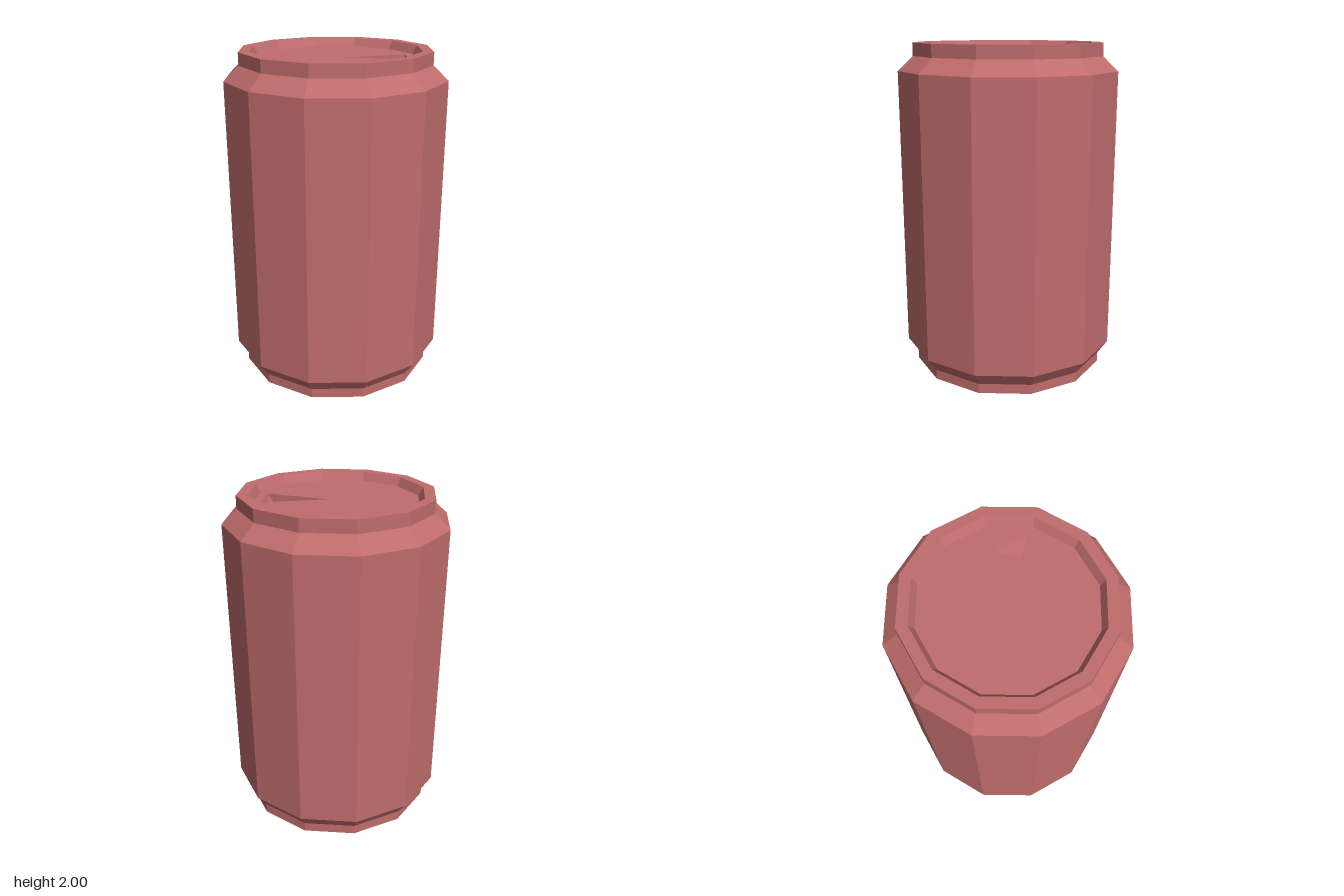
import * as THREE from 'three';

const SIDES = 12;
const LID_Y = 1.95;
const LID_R = 0.48;
const FLOOR_Y = 1.85;

export function createModel() {
  const model = new THREE.Group();
  model.name = 'drinkCan';
  const material = new THREE.MeshStandardMaterial({ color: 0xc06c6c, flatShading: true });

  const add = (name, geometry) => {
    const mesh = new THREE.Mesh(geometry, material);
    mesh.name = name;
    model.add(mesh);
  };

  // Closed base, foot, side wall, shoulder, rim and the slope down to the lid
  const profile = [
    [0, 0], [0.6, 0], [0.6, 0.06], [0.66, 0.145], [0.66, 1.84],
    [0.57, 1.925], [0.57, 2], [0.507, 2], [LID_R, LID_Y],
  ].map(([r, y]) => new THREE.Vector2(r, y));
  add('canBody', new THREE.LatheGeometry(profile, SIDES));

  // Opening corners as x, z: at lid level and at the recess floor
  const upper = [[0.05, 0.015], [0.43, 0.015], [0.38, 0.205]];
  const lower = [[0.05, 0.015], [0.38, 0.015], [0.305, 0.162]];

  // Sunken lid with the triangular opening cut out
  const outline = [];
  for (let i = 0; i < SIDES; i++) {
    const a = (i / SIDES) * Math.PI * 2;
    outline.push(new THREE.Vector2(LID_R * Math.cos(a), LID_R * Math.sin(a)));
  }
  const lid = new THREE.Shape(outline);
  lid.holes.push(new THREE.Path(upper.map(([x, z]) => new THREE.Vector2(x, -z))));
  add('lid', new THREE.ShapeGeometry(lid).rotateX(-Math.PI / 2).translate(0, LID_Y, 0));

  // Recess below the opening: three walls and a floor
  const top = upper.map(([x, z]) => [x, LID_Y, z]);
  const floor = lower.map(([x, z]) => [x, FLOOR_Y, z]);
  const corners = [floor[0], floor[2], floor[1]];
  for (let i = 0; i < 3; i++) {
    const j = (i + 1) % 3;
    corners.push(floor[i], floor[j], top[j], floor[i], top[j], top[i]);
  }
  const recess = new THREE.BufferGeometry();
  recess.setAttribute('position', new THREE.Float32BufferAttribute(corners.flat(), 3));
  recess.computeVertexNormals();
  add('openingRecess', recess);

  return model;
}
